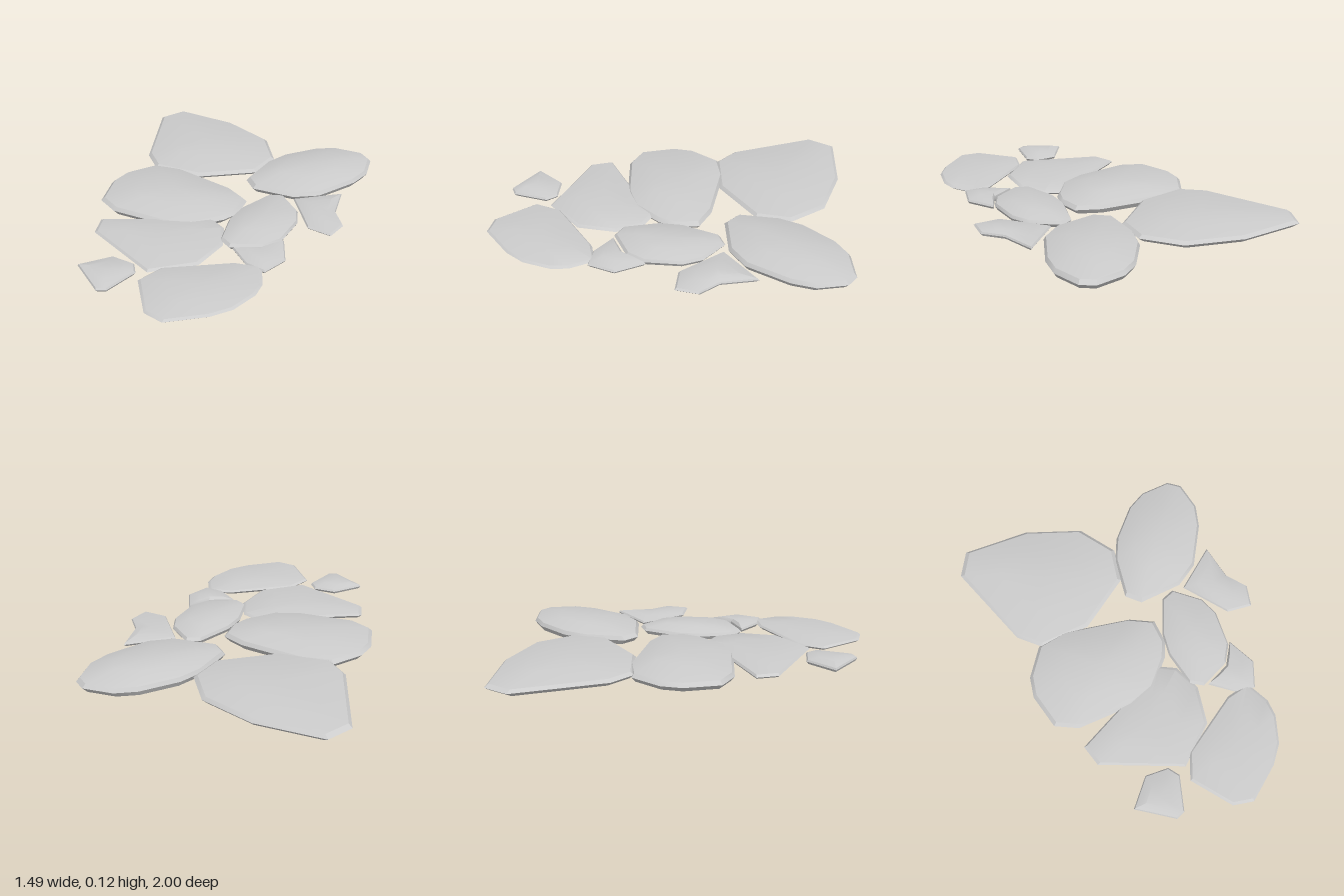
import * as THREE from 'three';
import { toCreasedNormals } from 'three/addons/utils/BufferGeometryUtils.js';

// Cross-sections of a worn flat stone: [outline scale, height fraction], bottom to top
const PROFILE = [[0.5, 0], [0.93, 0.27], [1, 0.52], [0.95, 0.7], [0.52, 0.97]];

// Trims every corner of an outline, leaving two points per edge
function trimCorners(corners, cut) {
  return corners.flatMap(([x, z], i) => {
    const [u, w] = corners[(i + 1) % corners.length];
    return [cut, 1 - cut].map((t) => [x + (u - x) * t, z + (w - z) * t]);
  });
}

function stoneGeometry(y0, y1, outline) {
  const n = outline.length;
  const box = new THREE.Box2().setFromPoints(outline.map(([x, z]) => new THREE.Vector2(x, z)));
  const { x: cx, y: cz } = box.getCenter(new THREE.Vector2());
  const pos = [], index = [];

  // Stacked rings, then the two cap centres
  for (const [s, t] of PROFILE) {
    for (const [x, z] of outline) {
      pos.push(cx + (x - cx) * s, y0 + (y1 - y0) * t, cz + (z - cz) * s);
    }
  }
  pos.push(cx, y0, cz, cx, y1, cz);
  const rings = PROFILE.length, low = rings * n, high = low + 1, top = low - n;

  for (let i = 0; i < n; i++) {
    const j = (i + 1) % n;
    for (let r = 0; r < rings - 1; r++) {
      const a = r * n + i, b = r * n + j;
      index.push(a, a + n, b + n, a, b + n, b);
    }
    index.push(low, i, j, high, top + j, top + i);
  }
  const g = new THREE.BufferGeometry();
  g.setAttribute('position', new THREE.Float32BufferAttribute(pos, 3));
  g.setIndex(index);
  return toCreasedNormals(g, 0.45);
}

export function createModel() {
  const group = new THREE.Group();
  group.name = 'steppingStones';
  const material = new THREE.MeshStandardMaterial({ color: 0xcccccc });

  // Outlines are x, z corners, clockwise from above
  const addStone = (name, y0, y1, outline) => {
    const stone = new THREE.Mesh(stoneGeometry(y0, y1, outline), material);
    stone.name = name;
    group.add(stone);
  };
  const addRounded = (name, y0, y1, corners) => addStone(name, y0, y1, trimCorners(corners, 0.2));

  // Angular slabs
  addStone('backLeftSlab', 0.02, 0.11, [[-0.67, -1], [-0.3, -0.98], [0, -0.86], [0.13, -0.66], [0.09, -0.47],
    [-0.2, -0.28], [-0.48, -0.27], [-0.59, -0.38], [-0.75, -0.87]]);
  addStone('frontLeftSlab', 0.03, 0.09, [[-0.49, 0.36], [0.07, 0.1], [0.16, 0.15], [0.22, 0.3], [0.18, 0.51],
    [-0.03, 0.68], [-0.46, 0.48]]);

  // Rounded slabs
  addRounded('backRightSlab', 0.005, 0.12,
    [[0.06, -0.29], [0.12, -0.67], [0.38, -0.94], [0.66, -0.95], [0.7, -0.68], [0.47, -0.31]]);
  addRounded('middleLeftSlab', 0, 0.115,
    [[-0.65, -0.08], [-0.46, -0.33], [0.16, -0.2], [0.17, 0.02], [-0.05, 0.25], [-0.58, 0.25]]);
  addRounded('middleRightSlab', 0.02, 0.105, [[0.29, -0.33], [0.51, -0.13], [0.48, 0.21], [0.2, 0.33], [0.14, 0]]);
  addRounded('frontRightSlab', 0.035, 0.09, [[-0.09, 0.69], [0.46, 0.35], [0.56, 0.57], [0.47, 0.82], [0.16, 1.045]]);

  // Small angular pebbles
  addStone('rightPebble', 0.04, 0.09, [[0.4, -0.28], [0.63, -0.45], [0.66, -0.25], [0.74, -0.14], [0.71, -0.02], [0.57, -0.04]]);
  addStone('middlePebble', 0.035, 0.09, [[0.5, 0.13], [0.57, 0.29], [0.51, 0.43], [0.4, 0.41], [0.28, 0.31], [0.42, 0.25]]);
  addStone('frontPebble', 0.035, 0.09, [[-0.25, 0.64], [-0.12, 0.65], [-0.08, 0.71], [-0.14, 0.9], [-0.19, 0.92], [-0.38, 0.78]]);
  return group;
}
